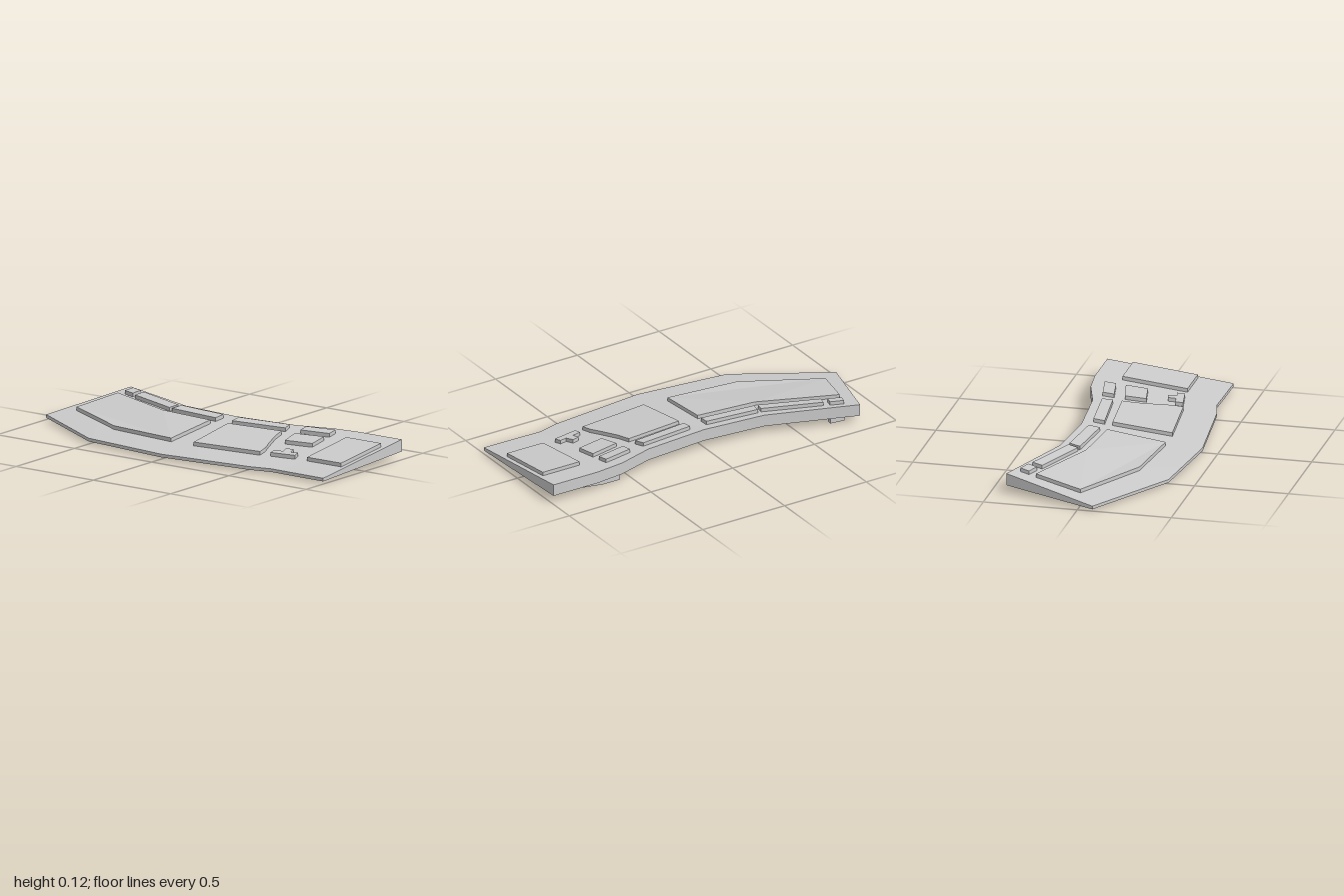
import * as THREE from 'three';
import { toCreasedNormals } from 'three/addons/utils/BufferGeometryUtils.js';

const material = new THREE.MeshStandardMaterial({ color: 0xcccccc });
const ROWS = 4, RAISE = 0.02;

// Outline stations of the tray, [x, z], from the model's right to its left
const FRONT = [[-1, 0.08], [-0.51, 0.365], [0, 0.42], [0.53, 0.365], [0.65, 0.335], [0.75, 0.337], [0.99, 0.34]];
const BACK = [[-0.83, -0.42], [-0.35, -0.255], [0, -0.225], [0.36, -0.255], [0.56, -0.315], [0.72, -0.333], [0.99, -0.333]];

// Raised key blocks, [x, z] outlines
const BLOCKS = {
  leftMainKeys: [[-0.8, -0.27], [-0.385, -0.105], [-0.055, -0.075], [-0.07, 0.24], [-0.47, 0.2], [-0.875, -0.015]],
  rightMainKeys: [[0.06, -0.075], [0.385, -0.105], [0.4, -0.03], [0.44, 0.08], [0.465, 0.14], [0.475, 0.2], [0.075, 0.24]],
  cornerKey: [[-0.77, -0.36], [-0.7, -0.335], [-0.715, -0.285], [-0.785, -0.31]],
  outerFunctionKeys: [[-0.67, -0.32], [-0.36, -0.205], [-0.375, -0.15], [-0.685, -0.265]],
  middleFunctionKeys: [[-0.34, -0.205], [-0.045, -0.175], [-0.05, -0.115], [-0.355, -0.145]],
  rightFunctionKeys: [[0.055, -0.175], [0.36, -0.205], [0.375, -0.15], [0.055, -0.115]],
  systemKeys: [[0.455, -0.225], [0.62, -0.255], [0.625, -0.195], [0.46, -0.165]],
  navigationKeys: [[0.465, -0.11], [0.63, -0.145], [0.64, -0.03], [0.485, 0]],
  arrowKeys: [[0.525, 0.145], [0.575, 0.135], [0.565, 0.095], [0.605, 0.085], [0.62, 0.13], [0.66, 0.12], [0.67, 0.16], [0.53, 0.185]],
  numberPad: [[0.74, -0.19], [0.965, -0.19], [0.965, 0.155], [0.745, 0.155]],
};

function makeMesh(name, geometry) {
  const mesh = new THREE.Mesh(geometry, material);
  mesh.name = name;
  return mesh;
}

// Wedge-shaped tray: a closed ring at each station, bottom front-to-back then top back-to-front
function trayGeometry() {
  const positions = [], index = [], ring = 2 * (ROWS + 1);
  FRONT.forEach((f, i) => {
    for (let k = 0; k < ring; k++) {
      const top = k > ROWS;
      const t = (top ? ring - 1 - k : k) / ROWS;
      const y = top ? 0.027 + 0.077 * t : 0.01 + 0.03 * t;
      positions.push(f[0] + (BACK[i][0] - f[0]) * t, y, f[1] + (BACK[i][1] - f[1]) * t);
    }
  });
  for (let i = 0; i < FRONT.length - 1; i++) {
    for (let k = 0; k < ring; k++) {
      const n = (k + 1) % ring, a = i * ring, b = a + ring;
      index.push(a + k, a + n, b + n, a + k, b + n, b + k);
    }
  }
  // End walls
  const last = (FRONT.length - 1) * ring;
  for (let j = 0; j < ROWS; j++) {
    const quad = [j, ring - 1 - j, ring - 2 - j, j + 1];
    const [a, b, c, d] = quad, [e, f, g, h] = quad.map((v) => v + last);
    index.push(a, b, c, a, c, d, e, g, f, e, h, g);
  }
  const geometry = new THREE.BufferGeometry();
  geometry.setAttribute('position', new THREE.Float32BufferAttribute(positions, 3));
  geometry.setIndex(index);
  return toCreasedNormals(geometry, 0.5);
}

// Extrude an outline upward and drape it over the sloping tray
function blockGeometry(outline, heightAt) {
  const shape = new THREE.Shape(outline.map(([x, z]) => new THREE.Vector2(x, -z)));
  const geometry = new THREE.ExtrudeGeometry(shape, { depth: 1, bevelEnabled: false });
  geometry.rotateX(-Math.PI / 2);
  const p = geometry.attributes.position;
  for (let i = 0; i < p.count; i++) {
    p.setY(i, heightAt(p.getX(i), p.getZ(i)) + (p.getY(i) > 0.5 ? RAISE : -0.005));
  }
  geometry.computeVertexNormals();
  return geometry;
}

export function createModel() {
  const group = new THREE.Group();
  group.name = 'keyboard';

  const tray = makeMesh('tray', trayGeometry());
  group.add(tray);

  const ray = new THREE.Raycaster();
  const down = new THREE.Vector3(0, -1, 0);
  const heightAt = (x, z) => {
    ray.set(new THREE.Vector3(x, 1, z), down);
    const hit = ray.intersectObject(tray)[0];
    return hit ? hit.point.y : 0.06;
  };
  for (const [name, outline] of Object.entries(BLOCKS)) {
    group.add(makeMesh(name, blockGeometry(outline, heightAt)));
  }

  // Sloping foot under the left back edge
  const profile = [[0.93, 0.045], [0.56, 0.045], [0.56, 0], [0.66, 0], [0.93, 0.034]];
  const footShape = new THREE.Shape(profile.map(([x, y]) => new THREE.Vector2(x, y)));
  const leftFoot = makeMesh('leftFoot', new THREE.ExtrudeGeometry(footShape, { depth: 0.05, bevelEnabled: false }));
  leftFoot.position.z = -0.296;
  group.add(leftFoot);

  // Small foot under the right back corner
  const rightFoot = makeMesh('rightFoot', new THREE.BoxGeometry(0.085, 0.035, 0.025));
  rightFoot.position.set(-0.73, 0.024, -0.35);
  rightFoot.rotation.y = -0.1;
  group.add(rightFoot);

  return group;
}
